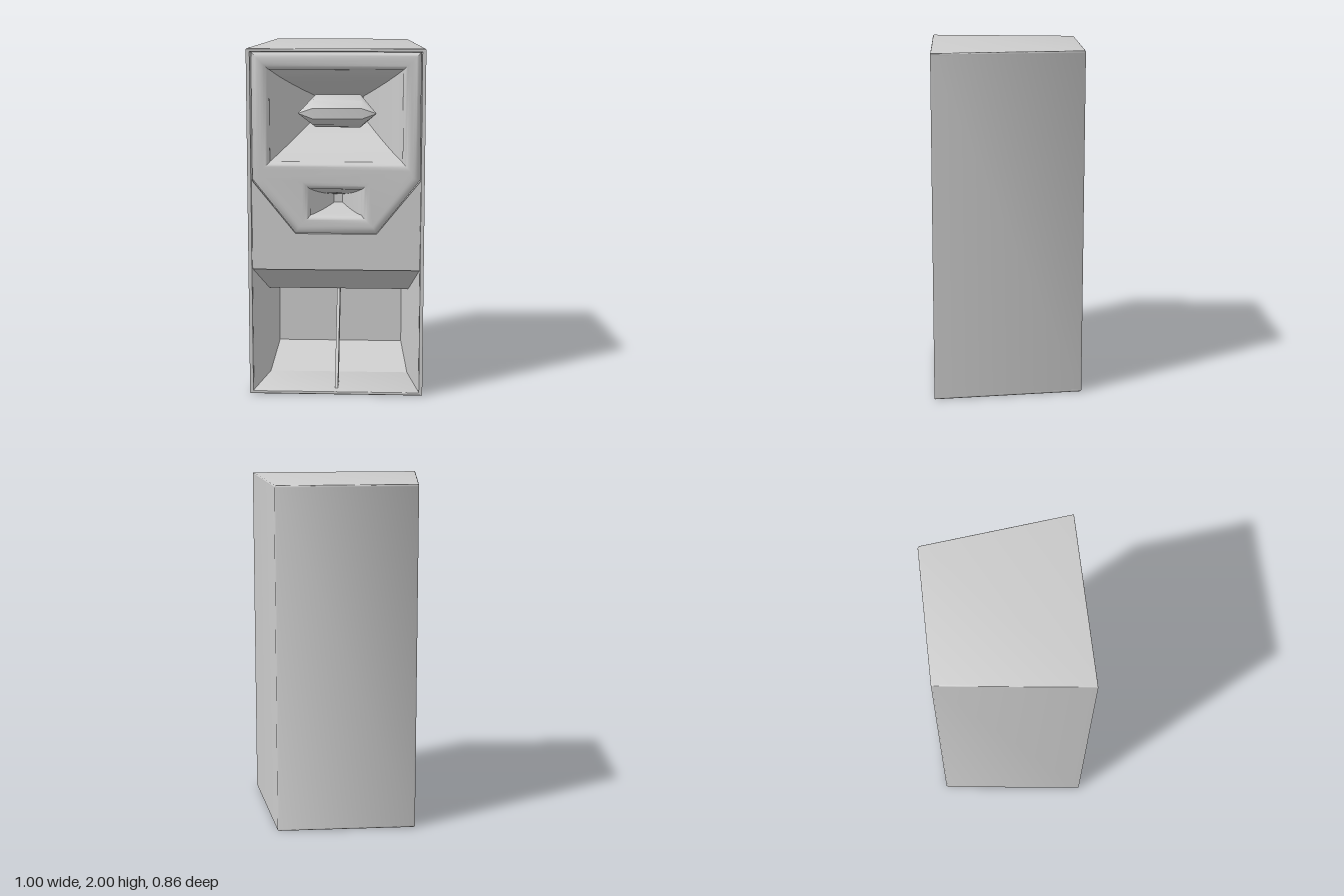
import * as THREE from 'three';
import { toCreasedNormals } from 'three/addons/utils/BufferGeometryUtils.js';
import { ConvexGeometry } from 'three/addons/geometries/ConvexGeometry.js';

const material = new THREE.MeshStandardMaterial({ color: 0xcccccc, side: THREE.DoubleSide });

const shapeOf = (pts) => new THREE.Shape(pts.map(([x, y]) => new THREE.Vector2(x, y)));
const rect = (w, y0, y1) => [[-w, y0], [w, y0], [w, y1], [-w, y1]];

// Horizontal slab: outline in x/z, raised from y0 to y1, with edges rounded by r
function slab(pts, y0, y1, r = 0) {
  const geo = new THREE.ExtrudeGeometry(shapeOf(pts), {
    depth: y1 - y0 - 2 * r, bevelEnabled: r > 0,
    bevelSize: r, bevelThickness: r, bevelOffset: -r, bevelSegments: 3,
  });
  return geo.rotateX(Math.PI / 2).translate(0, y1 - r, 0);
}

// Board across the bay: profile in z/y, run along x
function crossBoard(pts, halfWidth) {
  return new THREE.ExtrudeGeometry(shapeOf(pts), { depth: 2 * halfWidth, bevelEnabled: false })
    .translate(0, 0, -halfWidth).rotateY(-Math.PI / 2);
}

// Narrow a board towards the back so that it follows the bay's side walls
function followWalls(geo) {
  const p = geo.attributes.position;
  for (let i = 0; i < p.count; i++) p.setX(i, p.getX(i) * (1 - 0.36 * (0.43 - p.getZ(i))));
  geo.computeVertexNormals();
  return geo;
}

// Flared rectangular horn from mouth to throat, closed at the back
// mouth and throat: [half width, half height, y centre, z]
function horn(mouth, throat, power, steps = 14) {
  const pos = [], index = [];
  for (let i = 0; i <= steps + 1; i++) {
    const t = Math.min(i / steps, 1), f = Math.pow(t, power);
    const k = i > steps ? 0.001 : 1;
    const [w, h, y] = [0, 1, 2].map((j) => THREE.MathUtils.lerp(mouth[j], throat[j], f));
    const z = THREE.MathUtils.lerp(mouth[3], throat[3], t);
    for (const [sx, sy] of [[-1, -1], [1, -1], [1, 1], [-1, 1]]) pos.push(sx * w * k, y + sy * h * k, z);
    if (i === 0) continue;
    for (let j = 0; j < 4; j++) {
      const a = (i - 1) * 4 + j, b = (i - 1) * 4 + (j + 1) % 4;
      index.push(a, b, b + 4, a, b + 4, a + 4);
    }
  }
  const geo = new THREE.BufferGeometry();
  geo.setAttribute('position', new THREE.Float32BufferAttribute(pos, 3));
  geo.setIndex(index);
  return toCreasedNormals(geo, 0.7);
}

export function createModel() {
  const model = new THREE.Group();
  const add = (name, geo) => {
    const mesh = new THREE.Mesh(geo, material);
    mesh.name = name;
    model.add(mesh);
  };

  // Cabinet: tapered walls open at the front, with top and bottom slabs
  const footprint = [[-0.5, 0.43], [-0.402, -0.42], [-0.392, -0.43], [0.392, -0.43], [0.402, -0.42], [0.5, 0.43]];
  const inside = [[0.48, 0.43], [0.385, -0.41], [-0.385, -0.41], [-0.48, 0.43]];
  add('cabinetWalls', toCreasedNormals(slab([...footprint, ...inside], 0.012, 1.988), 0.9));
  add('cabinetTop', toCreasedNormals(slab(footprint, 1.98, 2, 0.006), 0.9));
  add('cabinetBottom', toCreasedNormals(slab(footprint, 0, 0.02, 0.006), 0.9));

  // Horn face: one rolled-edge plate with two mouths
  const face = shapeOf([[-0.23, 0.95], [0.23, 0.95], [0.475, 1.26], [0.475, 1.98], [-0.475, 1.98], [-0.475, 1.26]]);
  face.holes.push(shapeOf(rect(0.375, 1.36, 1.88)), shapeOf(rect(0.145, 1.055, 1.205)));
  const plate = new THREE.ExtrudeGeometry(face, {
    depth: 0.02, bevelSize: 0.045, bevelOffset: -0.045, bevelThickness: 0.03, bevelSegments: 6,
  }).translate(0, 0, 0.375);
  add('hornFace', toCreasedNormals(plate, 0.6));
  add('upperHorn', horn([0.375, 0.26, 1.62, 0.39], [0.14, 0.06, 1.62, -0.1], 0.7));
  add('lowerHorn', horn([0.145, 0.075, 1.13, 0.39], [0.025, 0.025, 1.1, 0.1], 0.7));

  // Wedge-shaped plug in the upper horn
  const plug = [];
  for (const sx of [-1, 1]) {
    plug.push([0.225 * sx, 1.62, 0.265]);
    for (const sy of [-1, 1]) {
      plug.push([0.14 * sx, 1.62 + 0.03 * sy, 0.28], [0.14 * sx, 1.62 + 0.07 * sy, 0.235]);
      plug.push([0.13 * sx, 1.62 + 0.095 * sy, 0.14], [0.07 * sx, 1.62 + 0.04 * sy, -0.08]);
    }
  }
  add('hornPlug', toCreasedNormals(new ConvexGeometry(plug.map((p) => new THREE.Vector3(...p))), 0.8));

  // Front panel below the horns
  const panel = shapeOf([[-0.48, 0.74], [0.48, 0.74], [0.48, 1.26], [0.23, 0.95], [-0.23, 0.95], [-0.48, 1.26]]);
  add('frontPanel', new THREE.ExtrudeGeometry(panel, { depth: 0.02, bevelEnabled: false }).translate(0, 0, 0.395));

  // Bass bay: splayed sides, back, ramp, slanted baffle and centre brace
  for (const [name, s] of [['bayLeftWall', 1], ['bayRightWall', -1]]) {
    const pts = [[0.478, 0.42], [0.375, -0.16], [0.41, -0.16], [0.485, 0.42]];
    add(name, slab(pts.map(([x, z]) => [x * s, z]), 0.015, 1));
  }
  add('bayBack', slab([[-0.4, -0.16], [0.4, -0.16], [0.4, -0.18], [-0.4, -0.18]], 0.015, 1));
  add('bayRamp', followWalls(crossBoard([[0.055, 0.02], [-0.16, 0.155], [-0.16, 0.02]], 0.48)));
  add('bayBaffle', followWalls(crossBoard([[0.41, 0.74], [0.07, 0.545], [0.06, 0.562], [0.395, 0.757]], 0.48)));
  add('bayBrace', crossBoard([[0.37, 0.02], [0.25, 0.02], [-0.045, 0.56], [0.065, 0.56]], 0.009));

  return model;
}
